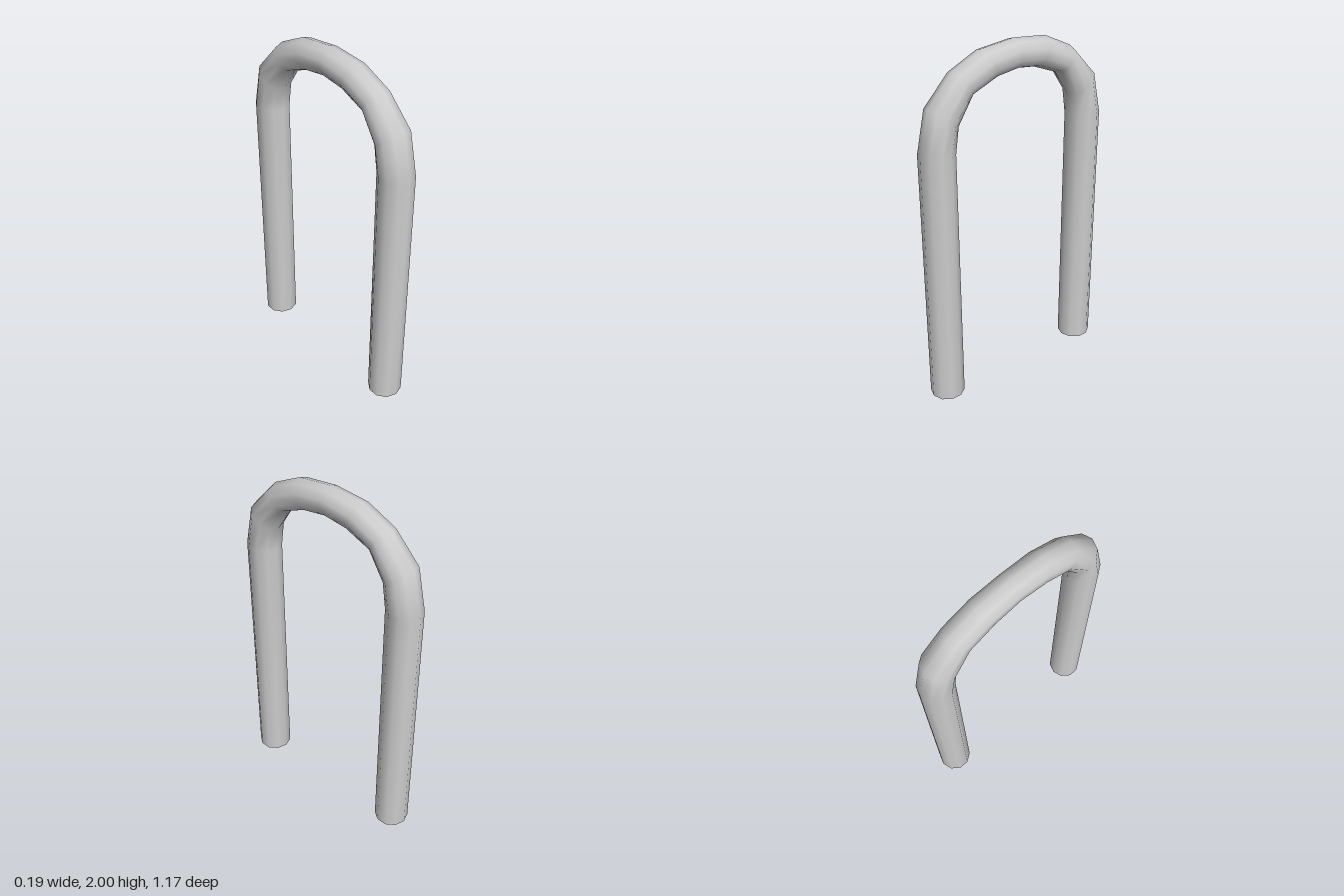
import * as THREE from 'three';

const SIDES = 10;
const FOOT_Z = 0.4875, RADIUS = 0.0975;

// Half of the arch: outer z, outer y, inner z, inner y, sideways radius
const half = [
  [0.585, 0, 0.39, 0, 0.0975],
  [0.585, 1.49, 0.39, 1.49, 0.0975],
  [0.53, 1.735, 0.372, 1.625, 0.097],
  [0.38, 1.895, 0.28, 1.765, 0.084],
  [0.205, 1.978, 0.132, 1.823, 0.081],
  [0, 2, 0, 1.84, 0.077],
];

// Ten-sided rings lofted up one leg, over the bend and down the other
function archGeometry() {
  const mirrored = half.slice(0, -1).reverse().map(([oz, oy, iz, iy, r]) => [-oz, oy, -iz, iy, r]);
  const rings = [...half, ...mirrored];
  const positions = [], index = [];
  rings.forEach(([oz, oy, iz, iy, r], i) => {
    for (let j = 0; j < SIDES; j++) {
      const a = (j / SIDES) * Math.PI * 2, c = Math.cos(a) / 2;
      positions.push(Math.sin(a) * r, (oy + iy) / 2 + c * (oy - iy), (oz + iz) / 2 + c * (oz - iz));
      if (i === rings.length - 1) continue;
      const k = (j + 1) % SIDES, p = i * SIDES, q = p + SIDES;
      index.push(p + j, p + k, q + k, p + j, q + k, q + j);
    }
  });
  const geometry = new THREE.BufferGeometry();
  geometry.setAttribute('position', new THREE.Float32BufferAttribute(positions, 3));
  geometry.setIndex(index);
  geometry.computeVertexNormals();
  return geometry;
}

export function createModel() {
  const group = new THREE.Group();
  group.name = 'archedBar';
  const material = new THREE.MeshStandardMaterial({ color: 0xcccccc });

  const arch = new THREE.Mesh(archGeometry(), material);
  arch.name = 'bentBar';
  group.add(arch);

  // Flat end caps under both legs
  const capGeometry = new THREE.CircleGeometry(RADIUS, SIDES, Math.PI / 2).rotateX(Math.PI / 2);
  for (const [name, side] of [['frontEndCap', 1], ['backEndCap', -1]]) {
    const cap = new THREE.Mesh(capGeometry, material);
    cap.name = name;
    cap.position.z = side * FOOT_Z;
    group.add(cap);
  }
  return group;
}
